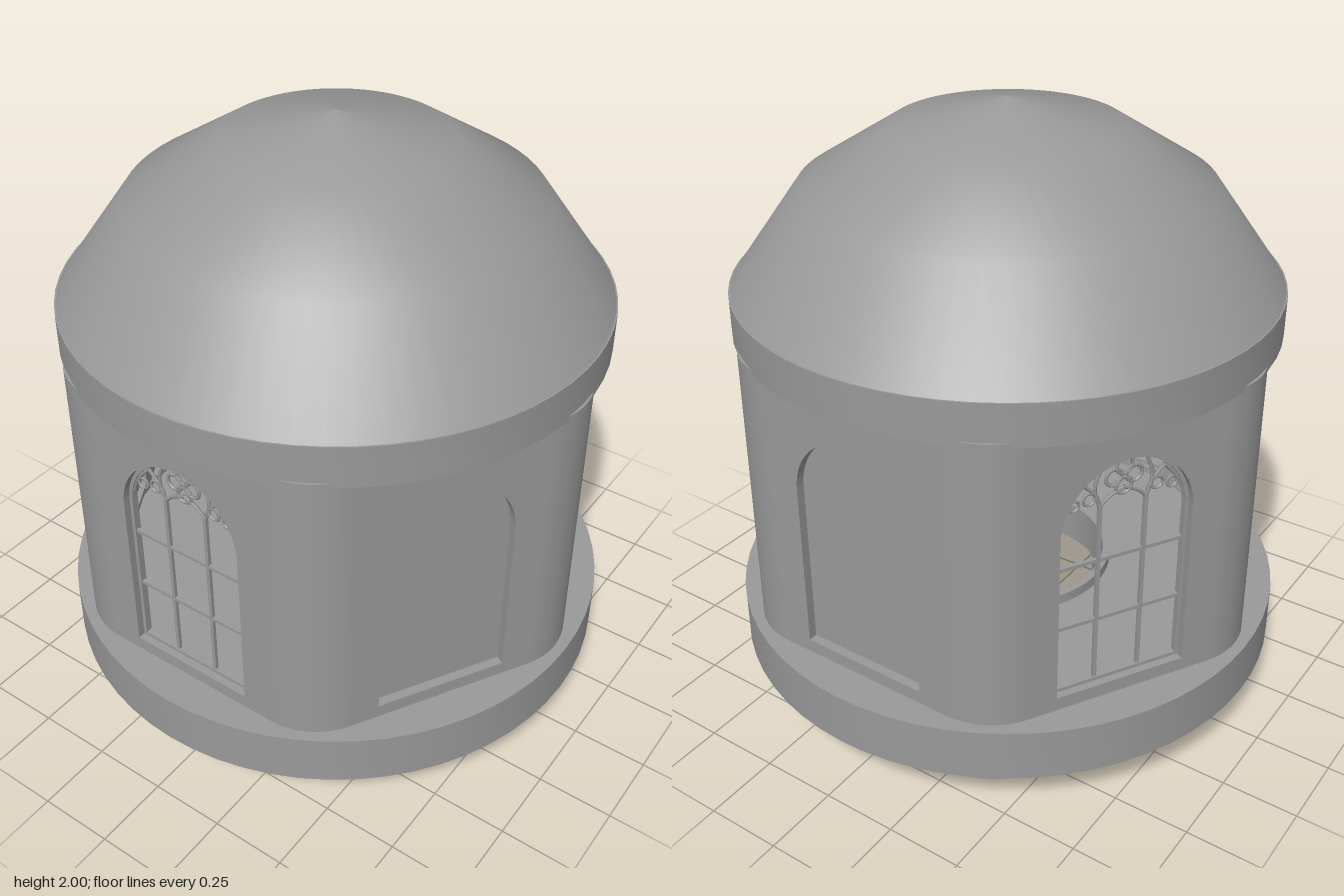
import * as THREE from 'three';
import { toCreasedNormals } from 'three/addons/utils/BufferGeometryUtils.js';

const D = Math.PI / 180;
const APOTHEM = 0.8, WALL = 0.06, FILLET = 0.25;
const VERTEX = APOTHEM / Math.cos(30 * D);            // sharp hexagon corner
const HALF = (APOTHEM - FILLET) * Math.tan(30 * D);   // half width of a flat face
const BOTTOM = 0.125, TOP = 1.31, SILL = 0.385, SPRING = 0.95, OPEN = 0.22;

const material = new THREE.MeshStandardMaterial({ color: 0x999999, side: THREE.DoubleSide });

function add(parent, name, geometry, x = 0, y = 0, z = 0) {
  const mesh = new THREE.Mesh(geometry, material);
  mesh.name = name;
  mesh.position.set(x, y, z);
  parent.add(mesh);
  return mesh;
}

// Round-headed outline, inset from the wall opening
function arch(inset = 0, Kind = THREE.Shape) {
  const r = OPEN - inset;
  const s = new Kind();
  s.moveTo(-r, SILL + inset);
  s.lineTo(r, SILL + inset);
  s.lineTo(r, SPRING);
  s.absarc(0, SPRING, r, 0, Math.PI, false);
  s.closePath();
  return s;
}

const extrude = (shape, depth, curveSegments = 20) =>
  toCreasedNormals(new THREE.ExtrudeGeometry(shape, { depth, bevelEnabled: false, curveSegments }), 0.45);

// Closed ring with a rectangular section
function ring(inner, outer, y0, y1) {
  const s = new THREE.Shape().absarc(0, 0, outer, 0, Math.PI * 2);
  s.holes.push(new THREE.Path().absarc(0, 0, inner, 0, Math.PI * 2, true));
  return extrude(s, y1 - y0, 32).rotateX(-Math.PI / 2).translate(0, y0, 0);
}

function tracery(points) {
  const curve = new THREE.CatmullRomCurve3(points.map(([x, y]) => new THREE.Vector3(x, y, 0)));
  return new THREE.TubeGeometry(curve, 10, 0.006, 5);
}

// Flat wall with an arched opening
function wallPanel() {
  const s = new THREE.Shape();
  s.moveTo(-HALF, BOTTOM);
  s.lineTo(HALF, BOTTOM);
  s.lineTo(HALF, TOP);
  s.lineTo(-HALF, TOP);
  s.closePath();
  s.holes.push(arch(0, THREE.Path));
  return extrude(s, WALL);
}

function windowGrille(z) {
  const g = new THREE.Group();
  g.name = 'window';
  g.position.z = z;
  // Frame
  const frame = arch(0);
  frame.holes.push(arch(0.012, THREE.Path));
  add(g, 'windowFrame', extrude(frame, 0.02), 0, 0, -0.01);
  // Mullions and crossbars
  for (const x of [-0.076, 0.076])
    add(g, 'mullion', new THREE.BoxGeometry(0.012, 1.02 - SILL, 0.012), x, (1.02 + SILL) / 2, 0);
  for (const y of [0.615, 0.828])
    add(g, 'crossbar', new THREE.BoxGeometry(OPEN * 2, 0.012, 0.012), 0, y, 0);
  // Tracery in the head
  for (const s of [-1, 1]) {
    add(g, 'lightHead', tracery([[s * 0.076, 1.0], [s * 0.09, 1.05], [s * 0.135, 1.1]]));
    add(g, 'lightHead', tracery([[s * 0.208, 0.98], [s * 0.185, 1.04], [s * 0.135, 1.1]]));
    add(g, 'centreHead', tracery([[s * 0.076, 1.01], [s * 0.05, 1.035], [0, 1.06]]));
    add(g, 'branch', tracery([[s * 0.076, 1.0], [s * 0.095, 1.08], [s * 0.07, 1.15]]));
    add(g, 'cusp', new THREE.TorusGeometry(0.02, 0.005, 5, 14), s * 0.112, 1.045, 0);
    add(g, 'cusp', new THREE.TorusGeometry(0.018, 0.005, 5, 14), s * 0.163, 1.035, 0);
  }
  for (let i = 0; i < 4; i++) {
    const a = i * Math.PI / 2;
    add(g, 'quatrefoil', new THREE.TorusGeometry(0.027, 0.006, 5, 16),
      0.033 * Math.cos(a), 1.098 + 0.033 * Math.sin(a), 0);
  }
  return g;
}

// Filleted pier between two flat walls
function cornerPier() {
  const inner = APOTHEM - WALL;
  // Point on a neighbouring wall's end, at a given distance from the axis
  const end = (ap, side) => {
    const r = Math.hypot(ap, HALF), t = side * (30 * D - Math.atan2(HALF, ap));
    return [r * Math.cos(t), r * Math.sin(t)];
  };
  const s = new THREE.Shape();
  s.moveTo(...end(APOTHEM, -1));
  s.absarc(VERTEX - FILLET / Math.cos(30 * D), 0, FILLET, -30 * D, 30 * D, false);
  s.lineTo(...end(inner, 1));
  s.lineTo(inner / Math.cos(30 * D), 0);
  s.lineTo(...end(inner, -1));
  s.closePath();
  // Turned so that the pier points to +z
  return extrude(s, TOP - BOTTOM).rotateX(-Math.PI / 2).rotateY(-Math.PI / 2).translate(0, BOTTOM, 0);
}

// Pair of thin wedge fins with a block between them
function bracket() {
  const g = new THREE.Group();
  g.name = 'bracket';
  const s = new THREE.Shape();
  s.moveTo(0.36, 0);
  s.lineTo(0.745, BOTTOM);
  s.lineTo(0.745, 0.27);
  s.lineTo(0.36, 0.27);
  s.closePath();
  for (const x of [-0.139, 0.139])
    add(g, 'fin', new THREE.ShapeGeometry(s).rotateY(-Math.PI / 2), x);
  add(g, 'bracketBlock', new THREE.BoxGeometry(0.278, 0.14, 0.15), 0, 0.2, 0.675);
  return g;
}

export function createModel() {
  const model = new THREE.Group();
  model.name = 'domedPavilion';

  // Six sides, alternating open windows and blind niches
  for (let i = 0; i < 6; i++) {
    const side = new THREE.Group();
    side.name = 'side';
    side.rotation.y = (30 + 60 * i) * D;
    add(side, 'wall', wallPanel(), 0, 0, APOTHEM - WALL);
    const blind = i % 2 === 1;
    side.add(windowGrille(APOTHEM - (blind ? 0.055 : 0.035)));
    if (blind) add(side, 'blindPanel', extrude(arch(-0.003), 0.015), 0, 0, APOTHEM - 0.045);
    side.add(bracket());
    model.add(side);
    add(model, 'cornerPier', cornerPier()).rotation.y = 60 * i * D;
  }

  // Base band, floor with a curbed opening, and cornice
  add(model, 'baseBand', ring(0.79, 0.922, 0.165, 0.34));
  add(model, 'floor', ring(0.355, 0.76, 0.26, 0.36));
  add(model, 'floorCurb', ring(0.335, 0.36, 0.25, 0.395));
  add(model, 'cornice', ring(0.73, 0.877, 1.295, 1.43));

  // Dome
  const profile = [[0.872, 1.43], [0.65, 1.74], [0.36, 1.92], [0, 2]];
  add(model, 'dome', new THREE.LatheGeometry(profile.map(p => new THREE.Vector2(...p)), 64));

  return model;
}
